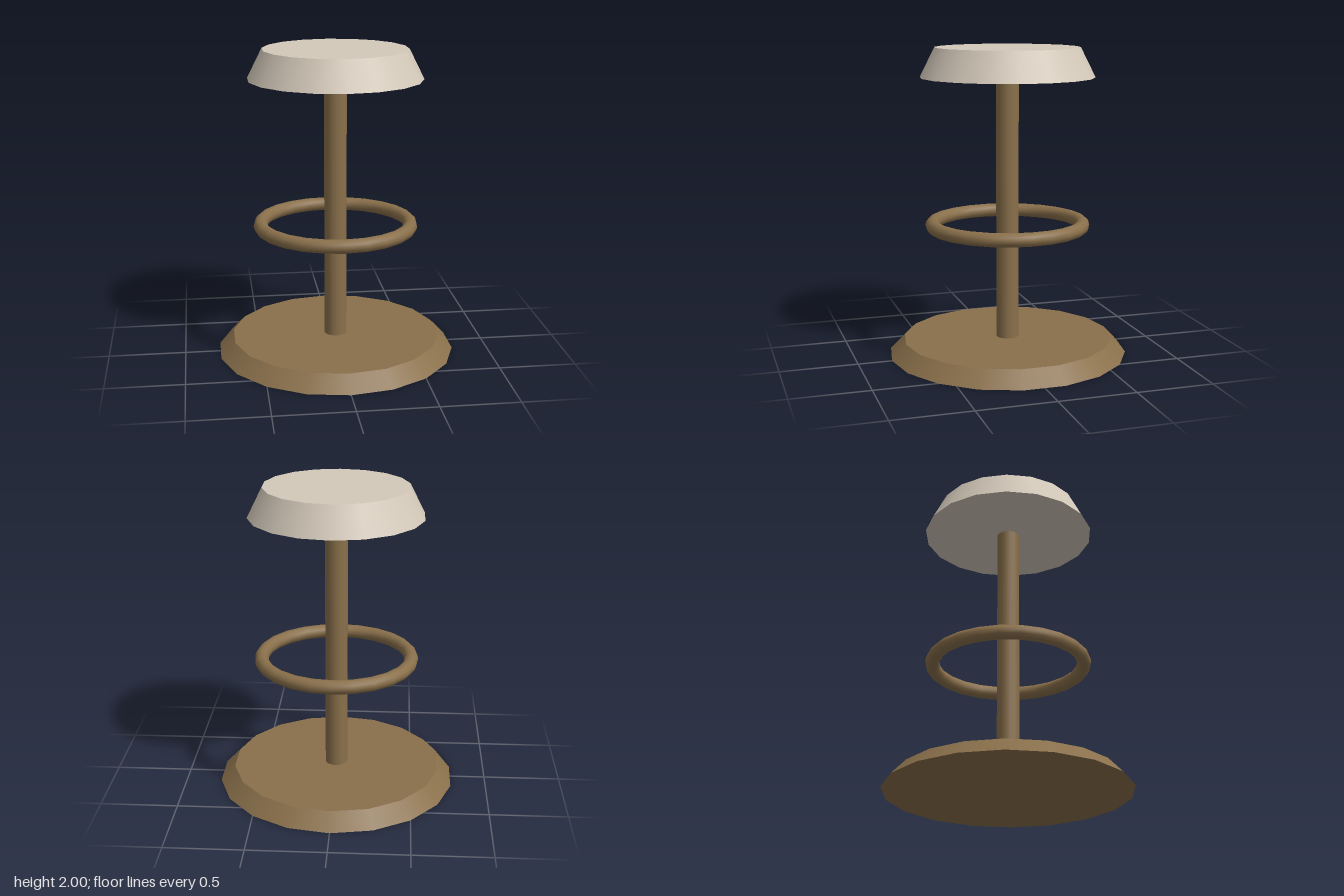
import * as THREE from 'three';

const wood = new THREE.MeshStandardMaterial({ color: 0x8a704b });
const cushion = new THREE.MeshStandardMaterial({ color: 0xd4c9ba });

// Upright (tapered) cylinder whose lower face sits at height y
function disc(name, rTop, rBottom, y, height, sides, material) {
  const geometry = new THREE.CylinderGeometry(rTop, rBottom, height, sides);
  geometry.translate(0, y + height / 2, 0);
  const mesh = new THREE.Mesh(geometry, material);
  mesh.name = name;
  return mesh;
}

export function createModel() {
  const stool = new THREE.Group();
  stool.name = 'barStool';

  // Bevelled floor plate, central post and tapered seat
  stool.add(
    disc('base', 0.685, 0.78, 0, 0.1, 18, wood),
    disc('post', 0.073, 0.073, 0.1, 1.71, 16, wood),
    disc('seat', 0.465, 0.56, 1.81, 0.19, 18, cushion),
  );

  // Floating foot ring around the post
  const ring = new THREE.TorusGeometry(0.489, 0.045, 12, 24);
  ring.rotateX(Math.PI / 2);
  const footRing = new THREE.Mesh(ring, wood);
  footRing.name = 'footRing';
  footRing.position.y = 0.855;
  stool.add(footRing);

  return stool;
}
